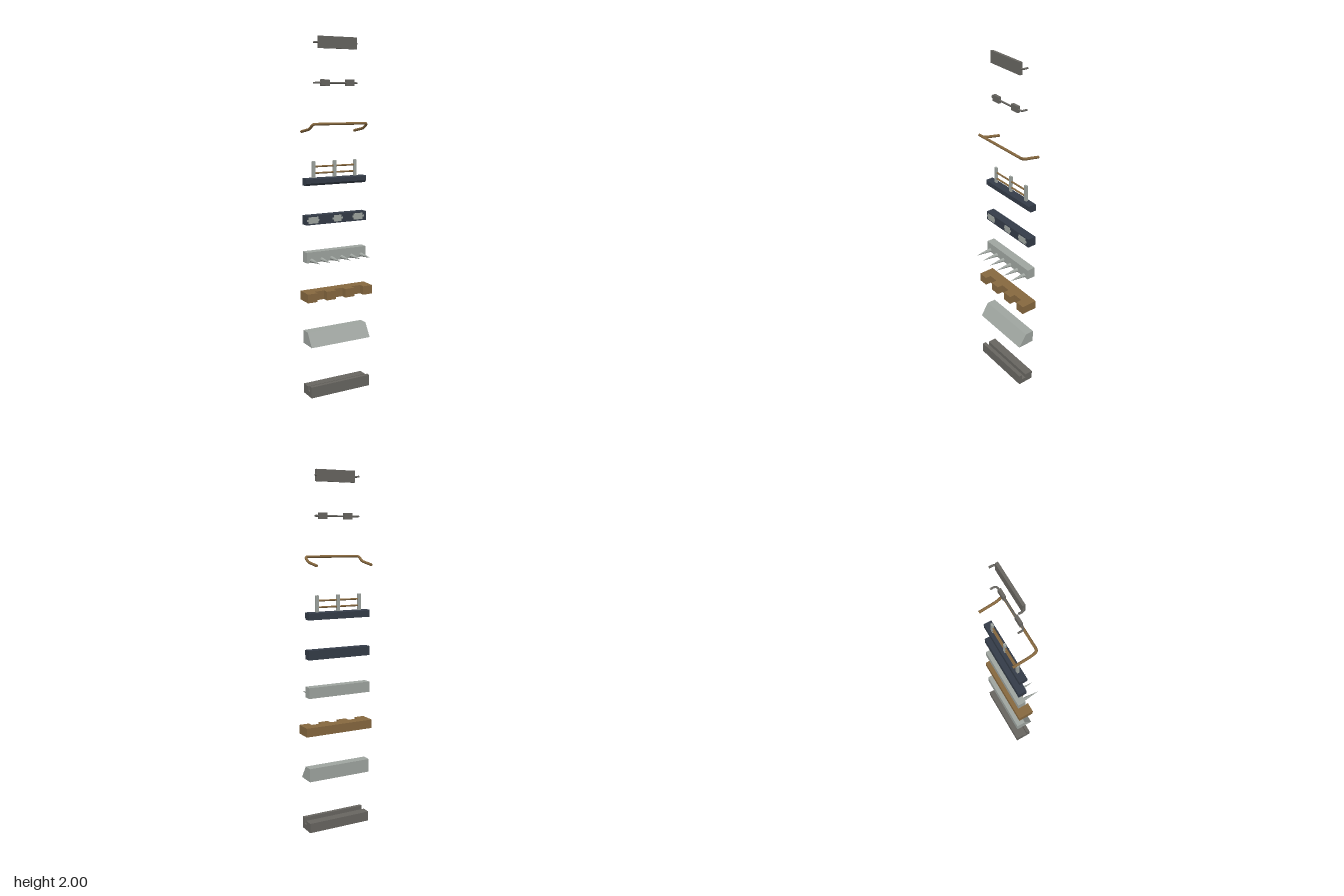
import * as THREE from 'three';

const mat = (name, color) => {
  const m = new THREE.MeshStandardMaterial({ color });
  m.name = name;
  return m;
};

export function createModel() {
  const darkStone = mat('dark grey', 0x676560);
  const paleStone = mat('pale grey', 0x9fa5a0);
  const wood = mat('brown', 0x86683f);
  const navy = mat('navy', 0x343c48);
  const root = new THREE.Group();

  const group = (name, y) => {
    const g = new THREE.Group();
    g.name = name;
    g.position.y = y;
    root.add(g);
    return g;
  };
  const add = (parent, name, geo, material, x = 0, y = 0, z = 0) => {
    const m = new THREE.Mesh(geo, material);
    m.name = name;
    m.position.set(x, y, z);
    parent.add(m);
    return m;
  };
  // Box given by its limits on each axis
  const box = (parent, name, material, [x0, x1], [y0, y1], [z0, z1]) =>
    add(parent, name, new THREE.BoxGeometry(x1 - x0, y1 - y0, z1 - z0), material,
      (x0 + x1) / 2, (y0 + y1) / 2, (z0 + z1) / 2);
  const shapeOf = (pts) => new THREE.Shape(pts.map(([a, b]) => new THREE.Vector2(a, b)));
  // Side profile in (z, y), swept along x
  const sweepX = (pts, width) => {
    const geo = new THREE.ExtrudeGeometry(shapeOf(pts), { depth: width, bevelEnabled: false });
    return geo.translate(0, 0, -width / 2).rotateY(-Math.PI / 2);
  };
  // Bar through corner points with rounded bends and closed ends
  const bar = (parent, name, material, corners, radius, bend) => {
    const p = corners.map((c) => new THREE.Vector3(...c));
    const path = new THREE.CurvePath();
    let from = p[0];
    for (let i = 1; i < p.length - 1; i++) {
      const a = p[i].clone().add(p[i - 1].clone().sub(p[i]).setLength(bend));
      const b = p[i].clone().add(p[i + 1].clone().sub(p[i]).setLength(bend));
      path.add(new THREE.LineCurve3(from, a));
      path.add(new THREE.QuadraticBezierCurve3(a, p[i], b));
      from = b;
    }
    path.add(new THREE.LineCurve3(from, p[p.length - 1]));
    add(parent, name, new THREE.TubeGeometry(path, 96, radius, 10), material);
    for (const t of [0, 1]) {
      const at = path.getPointAt(t);
      const out = path.getTangentAt(t).multiplyScalar(t ? 1 : -1);
      const cap = add(parent, name + 'End', new THREE.CircleGeometry(radius, 10), material, at.x, at.y, at.z);
      cap.quaternion.setFromUnitVectors(new THREE.Vector3(0, 0, 1), out);
    }
  };

  // Channelled base with a raised front lip
  const base = group('channelBase', 0);
  add(base, 'channel', sweepX([[-0.06, 0], [0.037, 0], [0.037, 0.065], [0.016, 0.065],
    [0.016, 0.03], [-0.01, 0.03], [-0.01, 0.055], [-0.06, 0.055]], 0.38), darkStone);

  // Sloping block
  const slope = group('slopedBlock', 0.3);
  add(slope, 'slope', sweepX([[-0.06, 0], [0.042, 0], [-0.007, 0.076], [-0.06, 0.076]], 0.38), paleStone);

  // Notched wooden block, four teeth to the front
  const notched = group('notchedBlock', 0.56);
  const step = 0.414 / 7;
  const outline = [[-0.207, 0.06], [-0.207, -0.034]];
  for (let i = 1; i < 7; i++) {
    const x = -0.207 + i * step;
    const depths = i % 2 ? [-0.034, 0] : [0, -0.034];
    outline.push([x, depths[0]], [x, depths[1]]);
  }
  outline.push([0.207, -0.034], [0.207, 0.06]);
  const teeth = new THREE.ExtrudeGeometry(shapeOf(outline), { depth: 0.05, bevelEnabled: false });
  add(notched, 'teeth', teeth.rotateX(-Math.PI / 2), wood);

  // Block with a row of spikes
  const spiked = group('spikedBlock', 0.775);
  box(spiked, 'spikeBlock', paleStone, [-0.19, 0.19], [0, 0.06], [-0.06, -0.011]);
  const spike = new THREE.CylinderGeometry(0, 0.012, 0.102, 8).toNonIndexed();
  spike.computeVertexNormals();
  for (let i = 0; i < 6; i++) {
    add(spiked, 'spike', spike, paleStone, -0.16 + i * 0.0637, 0.013, 0.039).rotation.x = Math.PI / 2;
  }

  // Dark block with pale plates on its front
  const plated = group('platedBlock', 0.988);
  box(plated, 'darkBlock', navy, [-0.19, 0.19], [0, 0.052], [-0.06, -0.011]);
  for (const [x, w] of [[-0.148, 0.058], [0.005, 0.046], [0.138, 0.058]]) {
    box(plated, 'facePlate', paleStone, [x - w / 2, x + w / 2], [0.008, 0.044], [-0.012, -0.008]);
    box(plated, 'plateTab', paleStone, [x - w / 2 - 0.009, x + w / 2 + 0.009], [0.021, 0.031], [-0.012, -0.009]);
  }

  // Chamfered beam carrying a railing
  const railing = group('railing', 1.205);
  add(railing, 'beam', sweepX([[-0.058, 0], [-0.022, 0], [-0.011, 0.012], [-0.011, 0.036],
    [-0.014, 0.04], [-0.055, 0.04], [-0.058, 0.036]], 0.38), navy);
  for (const x of [-0.132, 0, 0.13]) {
    box(railing, 'post', paleStone, [x - 0.009, x + 0.009], [0.038, 0.131], [-0.043, -0.031]);
  }
  for (const y of [0.066, 0.102]) {
    add(railing, 'rail', new THREE.CylinderGeometry(0.005, 0.005, 0.27, 10), wood, 0, y, -0.037)
      .rotation.z = Math.PI / 2;
  }

  // Bent handlebar
  const handle = group('handlebar', 1.49);
  bar(handle, 'handle', wood, [[-0.177, 0.006, -0.092], [-0.177, 0.023, 0.01], [-0.177, 0.05, 0.045],
    [0.159, 0.05, 0.045], [0.159, 0.023, 0.01], [0.159, 0.006, -0.092]], 0.0075, 0.018);

  // Rod with two small blocks, ends bent back
  const bentRod = (z) => [[-0.127, 0, -0.037], [-0.127, 0, z], [0.127, 0, z], [0.127, 0, -0.037]];
  const pedals = group('pedalRod', 1.757);
  bar(pedals, 'rod', darkStone, bentRod(-0.004), 0.005, 0.018);
  for (const x of [-0.077, 0.077]) {
    box(pedals, 'pedal', darkStone, [x - 0.025, x + 0.025], [-0.016, 0.018], [-0.012, 0.004]);
  }

  // Flat plate on the same kind of rod
  const top = group('topPlate', 1.968);
  bar(top, 'rod', darkStone, bentRod(-0.005), 0.005, 0.018);
  box(top, 'plate', darkStone, [-0.117, 0.117], [-0.031, 0.032], [-0.012, 0.003]);

  return root;
}
